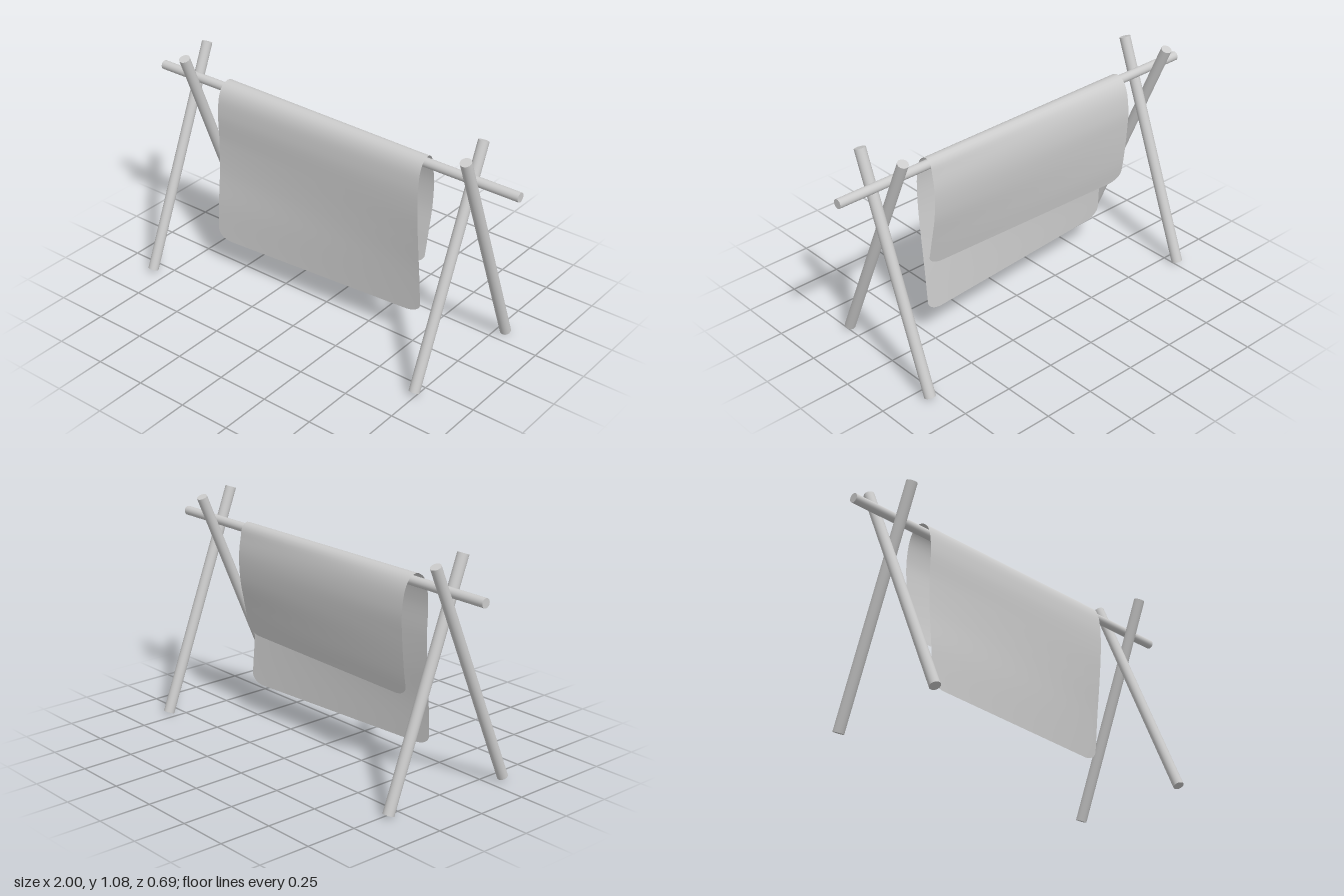
import * as THREE from 'three';

const material = new THREE.MeshStandardMaterial({ color: 0xcccccc });
const clothMaterial = new THREE.MeshStandardMaterial({ color: 0xcccccc, side: THREE.DoubleSide });

// Round pole between two points
function pole(name, from, to, radius) {
  const a = new THREE.Vector3(...from), b = new THREE.Vector3(...to);
  const dir = b.clone().sub(a);
  const mesh = new THREE.Mesh(new THREE.CylinderGeometry(radius, radius, dir.length(), 24), material);
  mesh.name = name;
  mesh.position.copy(a).add(b).multiplyScalar(0.5);
  mesh.quaternion.setFromUnitVectors(new THREE.Vector3(0, 1, 0), dir.normalize());
  return mesh;
}

// Cloth profile [z, y] from the front hem, over the crossbar, to the back hem
const profile = (x, points) => new THREE.CatmullRomCurve3(points.map(([z, y]) => new THREE.Vector3(x, y, z)));

function createCloth() {
  const rightEnd = profile(-0.605, [
    [0.076, 0.163], [0.068, 0.35], [0.052, 0.53], [0.047, 0.68], [0.05, 0.83], [0.037, 0.92], [0.012, 0.96],
    [-0.025, 0.976], [-0.058, 0.963], [-0.086, 0.92], [-0.104, 0.82], [-0.1, 0.7], [-0.083, 0.53], [-0.066, 0.43],
  ]);
  const leftEnd = profile(0.535, [
    [-0.003, 0.165], [0.018, 0.4], [0.035, 0.56], [0.048, 0.72], [0.048, 0.84], [0.035, 0.92], [0.012, 0.957],
    [-0.02, 0.971], [-0.046, 0.955], [-0.06, 0.9], [-0.071, 0.82], [-0.066, 0.7], [-0.04, 0.56], [-0.012, 0.42],
  ]);
  const nu = 60, nv = 90, width = 1.14, cornerWidth = 0.08, cornerTrim = 0.036;
  const positions = [], indices = [];
  for (let i = 0; i <= nu; i++) {
    // Columns crowd toward the ends, where the hem corners are rounded
    const u = 0.5 - 0.5 * Math.cos(Math.PI * i / nu);
    const edge = Math.min(u, 1 - u) * width;
    const c = Math.max(0, 1 - edge / cornerWidth);
    const trim = cornerTrim * (1 - Math.sqrt(1 - c * c));
    for (let j = 0; j <= nv; j++) {
      const t = trim + (1 - 2 * trim) * j / nv;
      const p = rightEnd.getPointAt(t).lerp(leftEnd.getPointAt(t), u);
      positions.push(p.x, p.y, p.z);
      if (i < nu && j < nv) {
        const a = i * (nv + 1) + j, b = a + nv + 1;
        indices.push(a, b, b + 1, a, b + 1, a + 1);
      }
    }
  }
  const geometry = new THREE.BufferGeometry();
  geometry.setAttribute('position', new THREE.Float32BufferAttribute(positions, 3));
  geometry.setIndex(indices);
  geometry.computeVertexNormals();
  const cloth = new THREE.Mesh(geometry, clothMaterial);
  cloth.name = 'hangingCloth';
  return cloth;
}

export function createModel() {
  const model = new THREE.Group();
  model.name = 'dryingRack';

  // Crossed legs at each end
  for (const [side, x] of [['right', -0.82], ['left', 0.74]]) {
    const frame = new THREE.Group();
    frame.name = side + 'LegPair';
    frame.add(
      pole(side + 'FrontLeg', [x, 0.02, 0.322], [x, 1.07, -0.127], 0.025),
      pole(side + 'BackLeg', [x + 0.055, 0.012, -0.319], [x + 0.055, 1.077, 0.089], 0.026),
    );
    model.add(frame);
  }

  // Crossbar resting in the crooks, with the cloth draped over it
  model.add(pole('crossbar', [-1, 0.937, -0.018], [1, 0.937, -0.018], 0.022));
  model.add(createCloth());
  return model;
}
